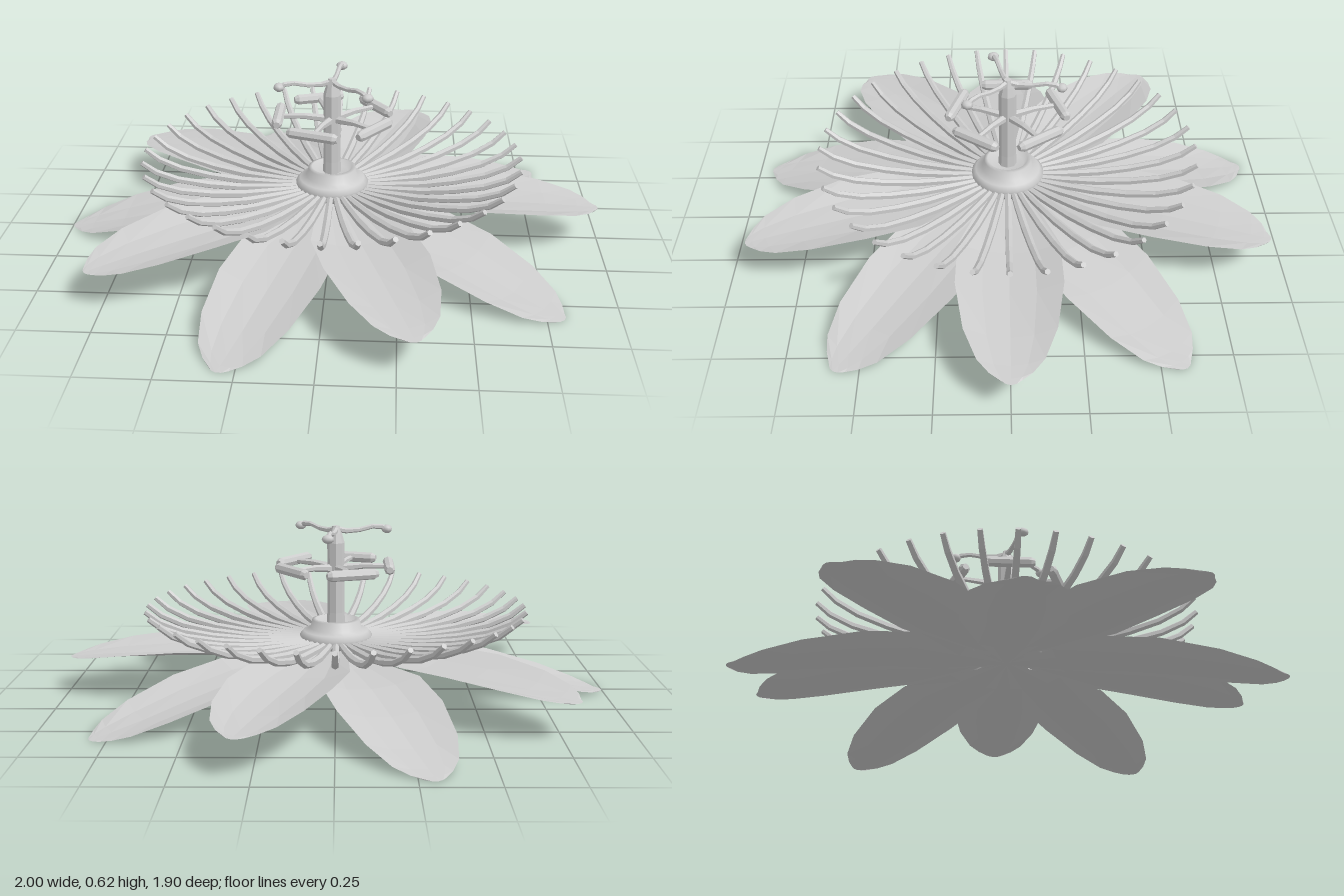
import * as THREE from 'three';

const DEG = Math.PI / 180;
const grey = new THREE.MeshStandardMaterial({ color: 0xcccccc, side: THREE.DoubleSide });
grey.name = 'pale grey';

function mesh(geometry, name, parent) {
  const m = new THREE.Mesh(geometry, grey);
  m.name = name;
  parent.add(m);
  return m;
}

// Faceted surface through rows of points of equal length
function loft(rows) {
  const n = rows[0].length;
  const index = [];
  for (let i = 0; i < rows.length - 1; i++) {
    for (let j = 0; j < n - 1; j++) {
      const a = i * n + j, b = a + n;
      index.push(a, a + 1, b, b, a + 1, b + 1);
    }
  }
  const indexed = new THREE.BufferGeometry();
  indexed.setAttribute('position', new THREE.Float32BufferAttribute(rows.flat(2), 3));
  indexed.setIndex(index);
  const g = indexed.toNonIndexed();
  g.computeVertexNormals();
  return g;
}

// Closed, tapering stalk along a path of [x, y, radius] in the xy plane
function stalk(path, sides) {
  const p = [[path[0][0], path[0][1], 0], ...path, [path.at(-1)[0], path.at(-1)[1], 0]];
  const rows = p.map(([x, y, r], i) => {
    const a = p[Math.max(i - 1, 0)], b = p[Math.min(i + 1, p.length - 1)];
    const len = Math.hypot(b[0] - a[0], b[1] - a[1]) || 1;
    const nx = -(b[1] - a[1]) / len, ny = (b[0] - a[0]) / len;
    const ring = [];
    for (let k = 0; k <= sides; k++) {
      const t = (k / sides) * Math.PI * 2;
      ring.push([x + nx * Math.cos(t) * r, y + ny * Math.cos(t) * r, Math.sin(t) * r]);
    }
    return ring;
  });
  return loft(rows);
}

// Cupped petal from cross-sections of [radius, height, half width, edge lift]
function petal(sections) {
  return loft(sections.map(([x, y, w, lift]) =>
    [-1, -0.5, 0, 0.5, 1].map((s) => [x - s * s * 0.02 * x, y + lift * s * s, s * w])));
}

// Degrees run from +x towards +z
function spin(parent, name, angle) {
  const g = new THREE.Group();
  g.name = name;
  g.rotation.y = -angle * DEG;
  parent.add(g);
  return g;
}

export function createModel() {
  const flower = new THREE.Group();
  flower.name = 'flower';

  // Five raised petals alternate with five drooping ones
  const upperPetal = petal([
    [0, 0.185, 0.005, 0], [0.2, 0.165, 0.11, 0.02], [0.4, 0.15, 0.18, 0.04],
    [0.6, 0.146, 0.185, 0.042], [0.8, 0.14, 0.155, 0.028], [0.92, 0.134, 0.11, 0.014],
    [0.97, 0.131, 0.07, 0.006], [0.995, 0.129, 0.035, 0],
  ]);
  const lowerPetal = petal([
    [0, 0.155, 0.005, 0], [0.2, 0.13, 0.11, 0.015], [0.4, 0.113, 0.18, 0.03],
    [0.6, 0.075, 0.185, 0.036], [0.8, 0.032, 0.155, 0.028], [0.92, 0.011, 0.11, 0.012],
    [0.97, 0.004, 0.07, 0.004], [1.0, 0, 0.035, 0],
  ]);
  for (let i = 0; i < 5; i++) {
    mesh(upperPetal, 'upperPetal', spin(flower, 'upperPetalArm', i * 72));
    mesh(lowerPetal, 'lowerPetal', spin(flower, 'lowerPetalArm', 36 + i * 72));
  }

  // Corona of upward curling filaments
  const filament = stalk([
    [0.08, 0.2, 0.01], [0.2, 0.2, 0.014], [0.34, 0.207, 0.015], [0.46, 0.224, 0.014],
    [0.57, 0.25, 0.013], [0.65, 0.285, 0.012], [0.7, 0.325, 0.01],
  ], 6);
  for (let i = 0; i < 36; i++) mesh(filament, 'filament', spin(flower, 'filamentArm', i * 10));

  // Stepped cup around the base of the column
  const cup = [[0, 0.17], [0.13, 0.18], [0.135, 0.215], [0.12, 0.232], [0.095, 0.24],
    [0.088, 0.272], [0.075, 0.275], [0.06, 0.255], [0, 0.255]];
  mesh(new THREE.LatheGeometry(cup.map(([r, y]) => new THREE.Vector2(r, y)), 24), 'centreCup', flower);

  // Central column
  mesh(stalk([[0, 0.22, 0.036], [0, 0.3, 0.032], [0, 0.56, 0.032], [0, 0.595, 0.022],
    [0, 0.622, 0.013]], 8), 'column', flower);

  // Five stamens with crosswise anthers
  const stamenStalk = stalk([[0.01, 0.465, 0.016], [0.1, 0.474, 0.012], [0.19, 0.472, 0.009]], 6);
  const antherShape = stalk([[-0.095, 0, 0.012], [-0.08, 0, 0.02], [0.08, 0, 0.02], [0.095, 0, 0.012]], 8);
  for (let i = 0; i < 5; i++) {
    const stamen = spin(flower, 'stamen', 36 + i * 72);
    mesh(stamenStalk, 'stamenStalk', stamen);
    const anther = mesh(antherShape, 'anther', stamen);
    anther.position.set(0.195, 0.474, 0);
    anther.rotation.y = Math.PI / 2;
  }

  // Three wavy styles ending in stigmas
  const styleShape = stalk([[0, 0.61, 0.012], [0.04, 0.602, 0.01], [0.09, 0.604, 0.009],
    [0.14, 0.615, 0.009], [0.175, 0.612, 0.01], [0.195, 0.6, 0.01]], 6);
  const stigmaShape = new THREE.SphereGeometry(0.02, 8, 6);
  for (const angle of [-82, 47, 165]) {
    const style = spin(flower, 'style', angle);
    mesh(styleShape, 'styleStalk', style);
    const stigma = mesh(stigmaShape, 'stigma', style);
    stigma.position.set(0.195, 0.603, 0);
    stigma.scale.set(1, 0.8, 1.1);
  }

  return flower;
}
